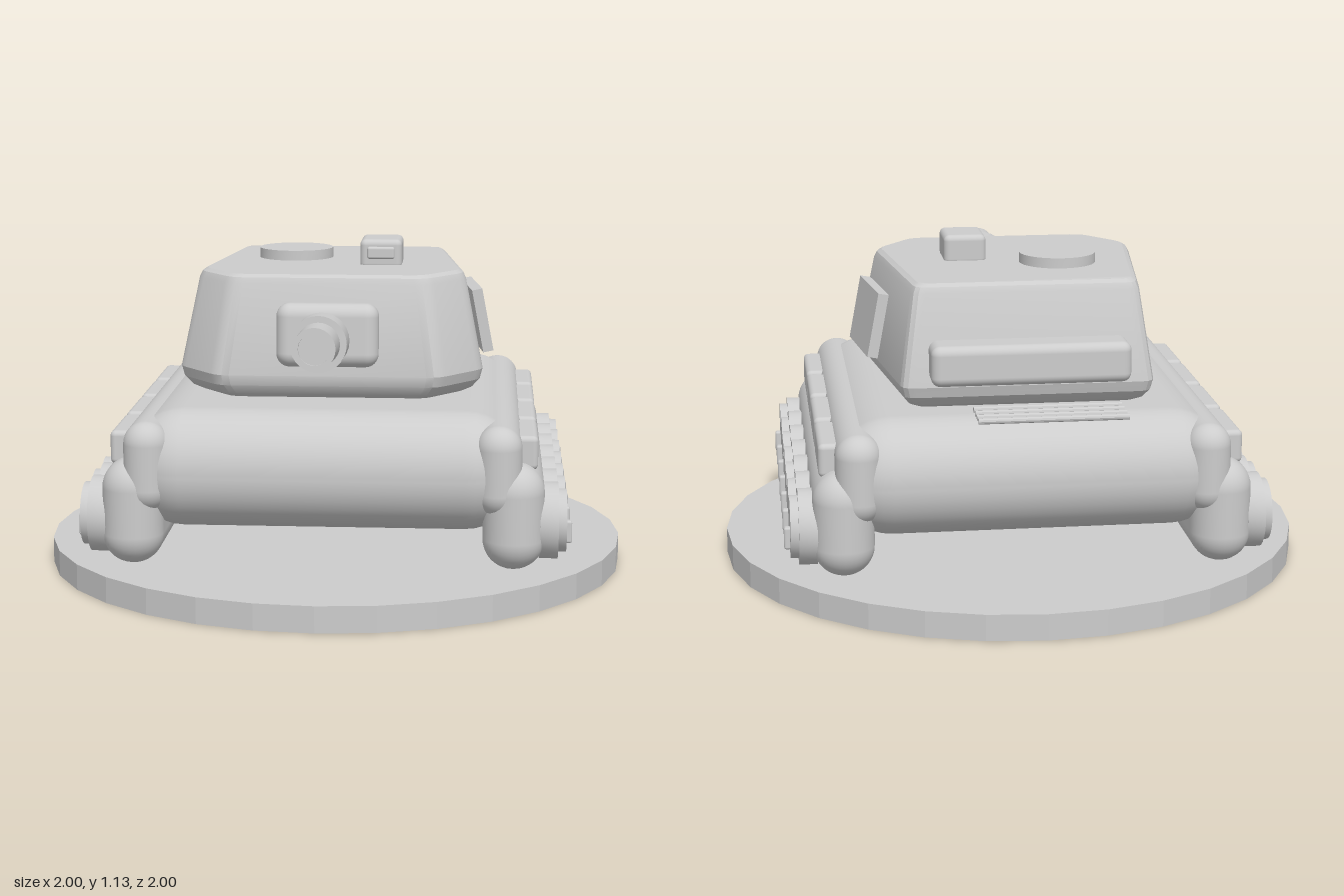
import * as THREE from 'three';
import { toCreasedNormals } from 'three/addons/utils/BufferGeometryUtils.js';
import { RoundedBoxGeometry } from 'three/addons/geometries/RoundedBoxGeometry.js';

const grey = new THREE.MeshStandardMaterial({ color: 0xcccccc });
grey.name = 'plain grey';

function add(parent, name, geometry, x = 0, y = 0, z = 0) {
  const mesh = new THREE.Mesh(geometry, grey);
  mesh.name = name;
  mesh.position.set(x, y, z);
  parent.add(mesh);
  return mesh;
}

// Rounded box given by its limits on each axis
function block(parent, name, [x0, x1], [y0, y1], [z0, z1], radius) {
  return add(parent, name, new RoundedBoxGeometry(x1 - x0, y1 - y0, z1 - z0, 5, radius),
    (x0 + x1) / 2, (y0 + y1) / 2, (z0 + z1) / 2);
}

const disc = (r, h, n = 32) => toCreasedNormals(new THREE.CylinderGeometry(r, r, h, n), 0.5);

// Six-cornered outline with softened corners, from the half-outline on +x
function outline(half, soft) {
  const pts = [...half, ...half.slice().reverse().map(([x, z]) => [-x, z])]
    .map(([x, z]) => new THREE.Vector2(x, z));
  const ring = [];
  pts.forEach((p, i) => {
    const a = pts[(i + pts.length - 1) % pts.length];
    const b = pts[(i + 1) % pts.length];
    const start = p.clone().add(a.clone().sub(p).setLength(soft));
    const end = p.clone().add(b.clone().sub(p).setLength(soft));
    const curve = new THREE.QuadraticBezierCurve(start, p, end);
    ring.push(...curve.getPoints(3));
  });
  return ring;
}

// Turret shell lofted through stacked outlines
function turretGeometry() {
  const low = outline([[0.415, -0.545], [0.52, 0.25], [0.37, 0.44]], 0.04);
  const high = outline([[0.37, -0.485], [0.455, 0.2], [0.325, 0.375]], 0.04);
  const levels = [[0.635, -0.02, 0.87], [0.65, -0.01, 0.93], [0.68, 0, 0.98], [0.715, 0.02, 1],
    [1.015, 0.95, 1], [1.035, 1, 0.985], [1.045, 1, 0.95]];
  const n = low.length;
  const positions = [];
  const index = [];
  for (const [y, t, scale] of levels) {
    low.forEach((p, i) => {
      const q = p.clone().lerp(high[i], t);
      positions.push(q.x * scale, y, q.y * scale);
    });
  }
  for (let k = 0; k < levels.length - 1; k++) {
    for (let i = 0; i < n; i++) {
      const a = k * n + i;
      const b = k * n + (i + 1) % n;
      index.push(a, a + n, b, b, a + n, b + n);
    }
  }
  const top = (levels.length - 1) * n;
  for (let i = 1; i < n - 1; i++) {
    index.push(0, i, i + 1, top, top + i + 1, top + i);
  }
  const g = new THREE.BufferGeometry();
  g.setAttribute('position', new THREE.Float32BufferAttribute(positions, 3));
  g.setIndex(index);
  return toCreasedNormals(g, 0.45);
}

// One side of the running gear; s is +1 for left, -1 for right
function runningGear(s) {
  const side = new THREE.Group();
  side.name = s > 0 ? 'leftRunningGear' : 'rightRunningGear';
  const span = (a, b) => (s > 0 ? [a, b] : [-b, -a]);
  block(side, 'track', span(0.52, 0.72), [0.13, 0.48], [-0.755, 0.755], 0.099);
  block(side, 'fender', span(0.495, 0.645), [0.31, 0.605], [-0.755, 0.755], 0.074);
  for (let i = 0; i < 4; i++) {
    const z = (i - 1.5) * 0.327;
    block(side, 'stowageBox', span(0.62, 0.697), [0.45, 0.562], [z - 0.148, z + 0.148], 0.018);
  }
  for (let i = -3; i <= 3; i++) {
    const z = i * 0.195;
    add(side, 'wheelRim', disc(0.125, 0.06), s * 0.735, 0.275, z).rotation.z = Math.PI / 2;
    add(side, 'wheelDisc', disc(0.103, 0.04), s * 0.772, 0.275, z).rotation.z = Math.PI / 2;
    block(side, 'wheelLug', span(0.78, 0.812), [0.2, 0.275], [z - 0.014, z + 0.014], 0.008);
  }
  return side;
}

export function createModel() {
  const model = new THREE.Group();
  model.name = 'tank';

  // Display base
  add(model, 'base', toCreasedNormals(new THREE.CylinderGeometry(1, 1, 0.088, 32), 0.1), 0, 0.044, 0);

  // Hull and running gear
  block(model, 'hull', [-0.65, 0.65], [0.24, 0.632], [-0.755, 0.755], 0.19);
  model.add(runningGear(1), runningGear(-1));

  // Engine deck bars
  for (const z of [-0.555, -0.605, -0.655, -0.703]) {
    add(model, 'deckBar', disc(0.01, 0.49, 10), -0.06, 0.641, z).rotation.z = Math.PI / 2;
  }

  // Turret
  const turret = new THREE.Group();
  turret.name = 'turret';
  model.add(turret);
  add(turret, 'turretShell', turretGeometry());
  block(turret, 'rearBin', [-0.327, 0.327], [0.733, 0.867], [-0.63, -0.47], 0.03);
  add(turret, 'hatch', disc(0.13, 0.045), -0.15, 1.057, -0.14);
  block(turret, 'periscope', [0.088, 0.232], [1.03, 1.132], [-0.092, 0.09], 0.02);
  block(turret, 'periscopeGlass', [0.113, 0.207], [1.067, 1.108], [0.07, 0.104], 0.008);
  const panel = add(turret, 'sidePanel', new THREE.BoxGeometry(0.036, 0.22, 0.32), 0.492, 0.855, -0.072);
  panel.rotation.set(0, 0.13, 0.19, 'YXZ');

  // Gun, tilted slightly upward
  block(turret, 'mantlet', [-0.17, 0.17], [0.745, 0.957], [0.34, 0.47], 0.045).rotation.x = -0.07;
  const gun = new THREE.Group();
  gun.name = 'gun';
  gun.position.set(0, 0.856, 0.4);
  gun.rotation.x = Math.PI / 2 - 0.07;
  turret.add(gun);
  const profile = [[0, 0], [0.065, 0], [0.07, 0.29], [0.09, 0.29], [0.09, 0.43], [0.069, 0.43],
    [0.066, 0.592], [0.05, 0.592], [0.05, 0.58], [0, 0.58]];
  add(gun, 'barrel', toCreasedNormals(
    new THREE.LatheGeometry(profile.map(([r, y]) => new THREE.Vector2(r, y)), 28), 0.5));

  return model;
}
